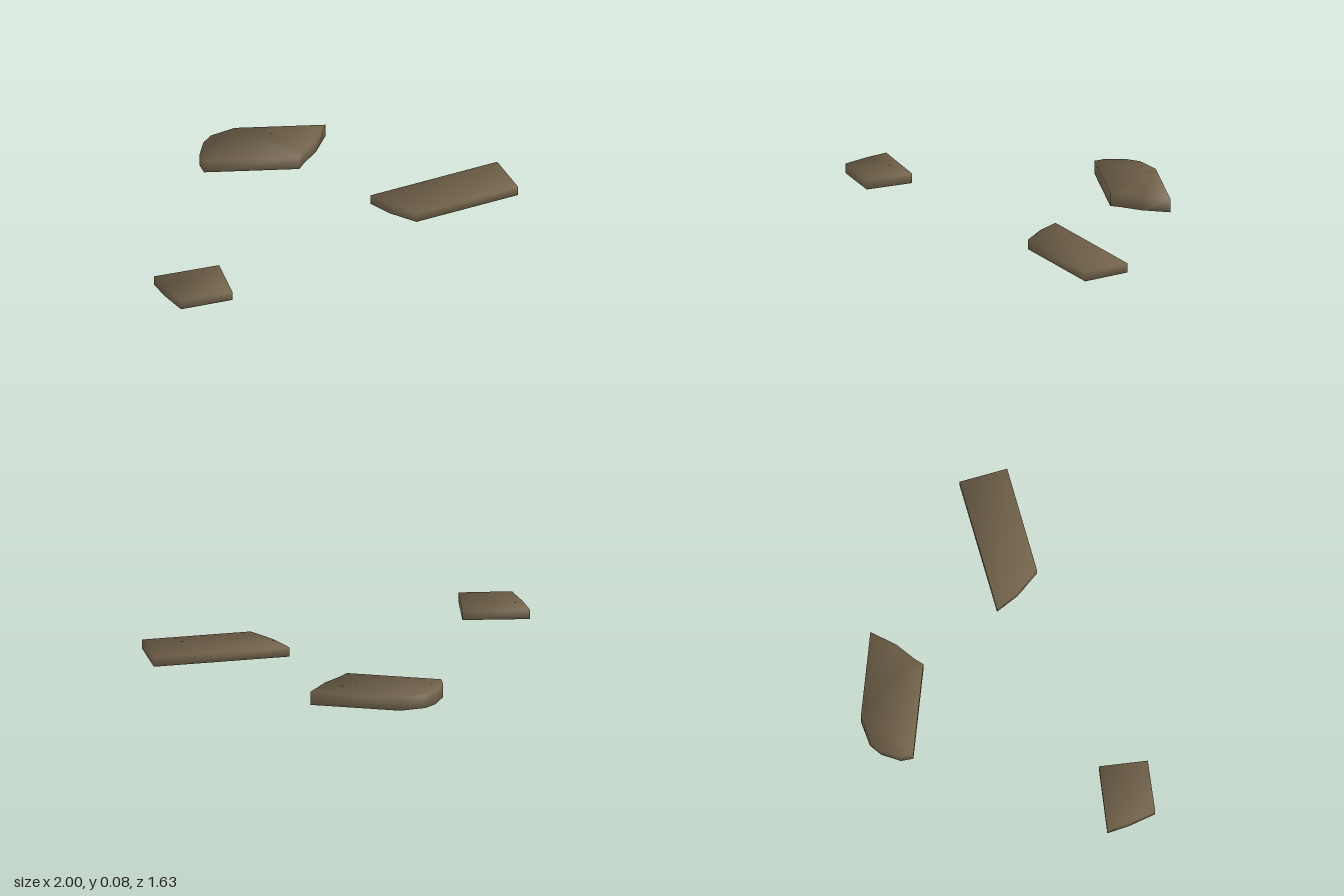
import * as THREE from 'three';

// Each plank: outline [x, z] clockwise from above, thickness, and height of the underside along x
const PLANKS = [
  {
    name: 'largePlank', thickness: 0.075, base: 0.008, slope: 0.011,
    outline: [[-0.5, -0.818], [-0.012, -0.818], [-0.07, -0.67], [-0.14, -0.565], [-0.165, -0.514],
      [-0.68, -0.514], [-0.7, -0.58], [-0.675, -0.69], [-0.63, -0.755]],
  },
  {
    name: 'longPlank', thickness: 0.053, base: 0.011, slope: 0.013,
    outline: [[0.2, -0.155], [0.897, -0.432], [0.998, -0.185], [0.44, 0.036], [0.3, -0.055]],
  },
  {
    name: 'shortPlank', thickness: 0.054, base: 0.032, slope: 0.016,
    outline: [[-0.645, 0.487], [-0.585, 0.745], [-0.865, 0.815], [-0.945, 0.685], [-1, 0.57]],
  },
];

// Closed slab whose corners share softened normals between the broad faces and the sides
function plankGeometry({ outline, thickness, base, slope }) {
  const n = outline.length;
  const positions = [];
  const normals = [];
  const index = [];

  const edgeNormal = (i) => {
    const [ax, az] = outline[(i + n) % n];
    const [bx, bz] = outline[(i + 1) % n];
    return new THREE.Vector3(bz - az, 0, ax - bx).normalize();
  };

  for (const up of [-1, 1]) {
    outline.forEach(([x, z], i) => {
      const y = base + slope * x + (up > 0 ? thickness : 0);
      positions.push(x, y, z);
      const normal = edgeNormal(i - 1).add(edgeNormal(i));
      normal.y = up;
      normals.push(...normal.normalize().toArray());
    });
  }

  // Underside and top
  for (let i = 1; i < n - 1; i++) {
    index.push(0, i, i + 1);
    index.push(n, n + i + 1, n + i);
  }
  // Sides
  for (let i = 0; i < n; i++) {
    const j = (i + 1) % n;
    index.push(j, i, n + i, j, n + i, n + j);
  }

  const geometry = new THREE.BufferGeometry();
  geometry.setAttribute('position', new THREE.Float32BufferAttribute(positions, 3));
  geometry.setAttribute('normal', new THREE.Float32BufferAttribute(normals, 3));
  geometry.setIndex(index);
  return geometry;
}

export function createModel() {
  const model = new THREE.Group();
  model.name = 'scatteredPlanks';

  const wood = new THREE.MeshStandardMaterial({ color: 0x75664d });
  wood.name = 'weathered brown';

  for (const plank of PLANKS) {
    const mesh = new THREE.Mesh(plankGeometry(plank), wood);
    mesh.name = plank.name;
    model.add(mesh);
  }
  return model;
}
